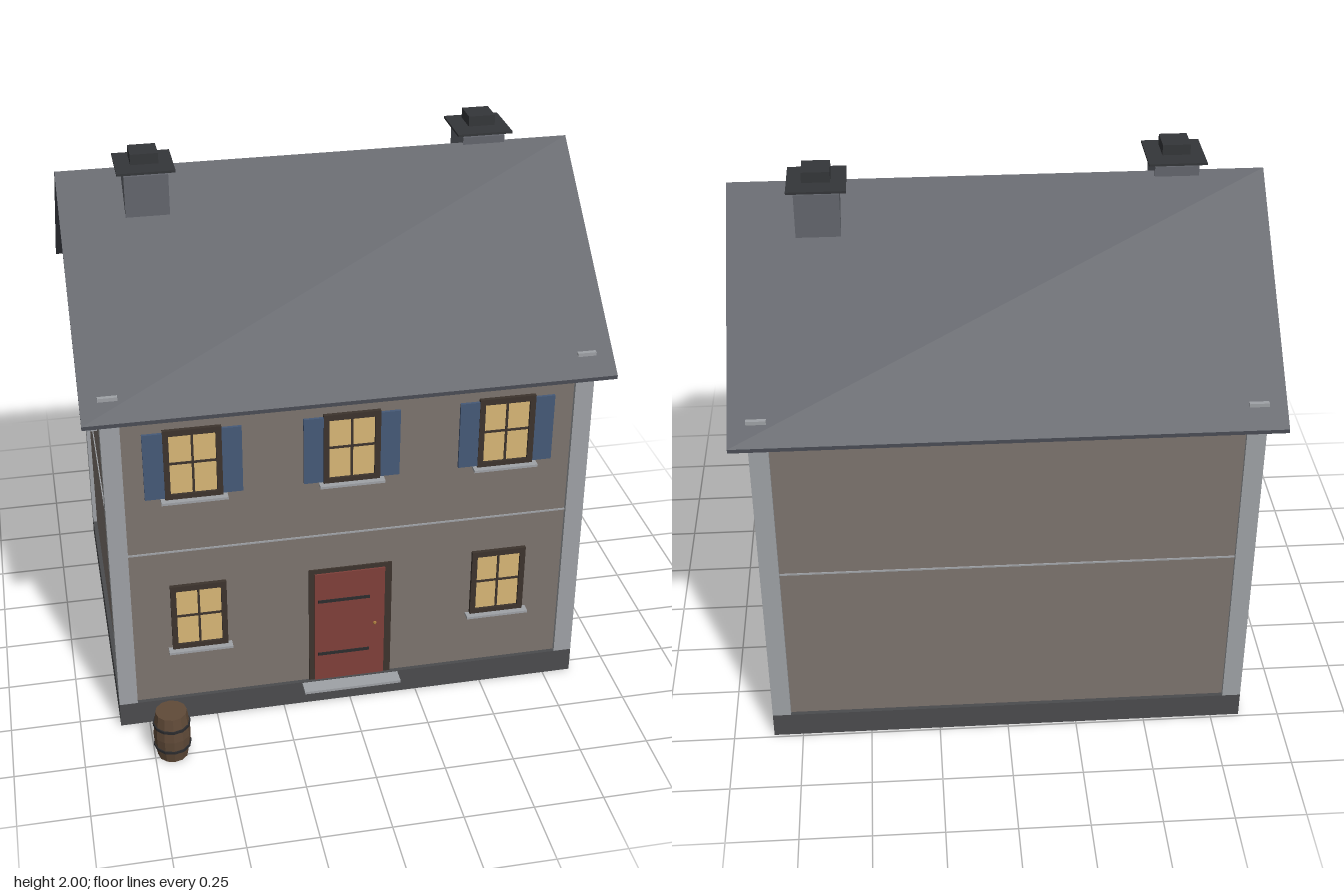
import * as THREE from 'three';

const mat = (color) => new THREE.MeshStandardMaterial({ color, flatShading: true });
const M = {
  wall: mat(0x7d746e), stone: mat(0x9fa2a6), base: mat(0x4b4c4e), roof: mat(0x4a4d55),
  stack: mat(0x63666d), cap: mat(0x343639), frame: mat(0x3d342d), glass: mat(0xd9b776),
  shutter: mat(0x465a78), door: mat(0x80403a), iron: mat(0x2c2c2e), brass: mat(0xa8783a),
  wood: mat(0x604a38),
};

// House measures
const CZ = -0.095, WX = 0.84, WZ = 0.63, BX = 0.855, BZ = 0.645;
const EAVE = 1.305, RIDGE = 1.915, ROOF_X = 0.915, ROOF_Z = 0.705;
const SLOPE = (RIDGE - EAVE) / ROOF_Z;

function add(parent, name, geometry, material, x = 0, y = 0, z = 0) {
  const mesh = new THREE.Mesh(geometry, material);
  mesh.name = name;
  mesh.position.set(x, y, z);
  parent.add(mesh);
  return mesh;
}
const box = (parent, name, material, w, h, d, x, y, z) =>
  add(parent, name, new THREE.BoxGeometry(w, h, d), material, x, y, z);

function polygon(points) {
  return new THREE.Shape(points.map(([x, y]) => new THREE.Vector2(x, y)));
}

// Profile in z (first) and y (second), swept along x and centred
function sweepX(points, length) {
  const g = new THREE.ExtrudeGeometry(polygon(points), { depth: length, bevelEnabled: false });
  g.translate(0, 0, -length / 2);
  g.rotateY(-Math.PI / 2);
  return g;
}

// Window facing +z with its back on z = 0, centred on its opening
function createWindow(shutters) {
  const group = new THREE.Group();
  group.name = 'window';
  const w = 0.1, h = 0.137, iw = 0.08, ih = 0.115;
  const ring = polygon([[-w, -h], [w, -h], [w, h], [-w, h]]);
  ring.holes.push(new THREE.Path([[-iw, -ih], [-iw, ih], [iw, ih], [iw, -ih]].map(([x, y]) => new THREE.Vector2(x, y))));
  add(group, 'windowFrame', new THREE.ExtrudeGeometry(ring, { depth: 0.014, bevelEnabled: false }), M.frame);
  box(group, 'windowPane', M.glass, iw * 2, ih * 2, 0.006, 0, 0, 0.002);
  box(group, 'mullion', M.frame, 0.008, ih * 2, 0.006, 0, 0, 0.006);
  box(group, 'glazingBar', M.frame, iw * 2, 0.008, 0.006, 0, 0.005, 0.006);
  box(group, 'windowSill', M.stone, 0.23, 0.009, 0.035, 0, -h - 0.001, 0.0165);
  if (shutters) for (const s of [-1, 1])
    box(group, 'shutter', M.shutter, 0.078, 0.255, 0.01, s * 0.13, 0, 0.007);
  return group;
}

function createDoor() {
  const group = new THREE.Group();
  group.name = 'door';
  box(group, 'doorFrame', M.frame, 0.305, 0.49, 0.012, 0, 0.34, 0);
  box(group, 'doorPanel', M.door, 0.258, 0.47, 0.012, -0.003, 0.333, 0.006);
  for (const y of [0.215, 0.45])
    box(group, 'doorHinge', M.iron, 0.19, 0.012, 0.004, -0.025, y, 0.013);
  add(group, 'doorKnob', new THREE.SphereGeometry(0.007, 6, 4), M.brass, 0.09, 0.33, 0.015);
  box(group, 'doorstep', M.stone, 0.36, 0.01, 0.08, 0, 0.087, 0.03);
  return group;
}

function createChimney() {
  const group = new THREE.Group();
  group.name = 'chimney';
  box(group, 'chimneyStack', M.stack, 0.152, 0.2, 0.165, 0, 1.835, 0);
  box(group, 'chimneyCap', M.cap, 0.2, 0.008, 0.2, 0, 1.95, 0);
  box(group, 'chimneyPot', M.cap, 0.096, 0.037, 0.096, 0, 1.9815, 0);
  return group;
}

function createBarrel() {
  const group = new THREE.Group();
  group.name = 'barrel';
  const profile = [[0, 0], [0.054, 0], [0.063, 0.05], [0.066, 0.095], [0.063, 0.14], [0.056, 0.19], [0, 0.19]];
  add(group, 'barrelStaves', new THREE.LatheGeometry(profile.map(([r, y]) => new THREE.Vector2(r, y)), 12), M.wood);
  for (const y of [0.05, 0.14])
    add(group, 'barrelHoop', new THREE.CylinderGeometry(0.067, 0.067, 0.01, 12, 1), M.iron, 0, y, 0);
  return group;
}

export function createModel() {
  const house = new THREE.Group();
  house.name = 'house';

  // Plinth and gabled walls
  box(house, 'plinth', M.base, BX * 2, 0.095, BZ * 2, 0, 0.0475, CZ);
  const top = RIDGE - 0.03;
  const section = [[-WZ, 0.09], [WZ, 0.09], [WZ, top - WZ * SLOPE], [0, top], [-WZ, top - WZ * SLOPE]];
  add(house, 'walls', sweepX(section, WX * 2), M.wall, 0, 0, CZ);
  box(house, 'beltCourse', M.stone, WX * 2 + 0.008, 0.006, WZ * 2 + 0.008, 0, 0.73, CZ);

  // Corner stones
  for (const sx of [-1, 1]) for (const sz of [-1, 1])
    box(house, 'cornerPost', M.stone, 0.066, 1.275, 0.066, sx * (BX - 0.033), 0.7325, CZ + sz * (BZ - 0.033));

  // Thin folded roof
  const t = 0.014;
  const fold = [[-ROOF_Z, EAVE], [-ROOF_Z, EAVE - t], [0, RIDGE - t], [ROOF_Z, EAVE - t], [ROOF_Z, EAVE], [0, RIDGE]];
  add(house, 'roof', sweepX(fold, ROOF_X * 2), M.roof, 0, 0, CZ);

  // Chimneys either side of the ridge
  for (const [x, z] of [[-0.615, -0.03], [0.608, -0.17]]) {
    const chimney = createChimney();
    chimney.position.set(x, 0, z);
    house.add(chimney);
  }

  // Front windows
  const front = CZ + WZ;
  for (const [x, y, shutters] of [[-0.55, 1.085, true], [0, 1.085, true], [0.55, 1.085, true], [-0.55, 0.45, false], [0.55, 0.45, false]]) {
    const win = createWindow(shutters);
    win.position.set(x, y, front);
    house.add(win);
  }

  // Gable windows
  for (const [side, y] of [[1, 1.085], [1, 0.473], [-1, 1.085]]) {
    const win = createWindow(false);
    win.position.set(side * WX, y, CZ);
    win.rotation.y = side * Math.PI / 2;
    house.add(win);
  }

  const door = createDoor();
  door.position.z = front;
  house.add(door);

  const barrel = createBarrel();
  barrel.position.set(-0.685, 0, 0.73);
  house.add(barrel);

  return house;
}
